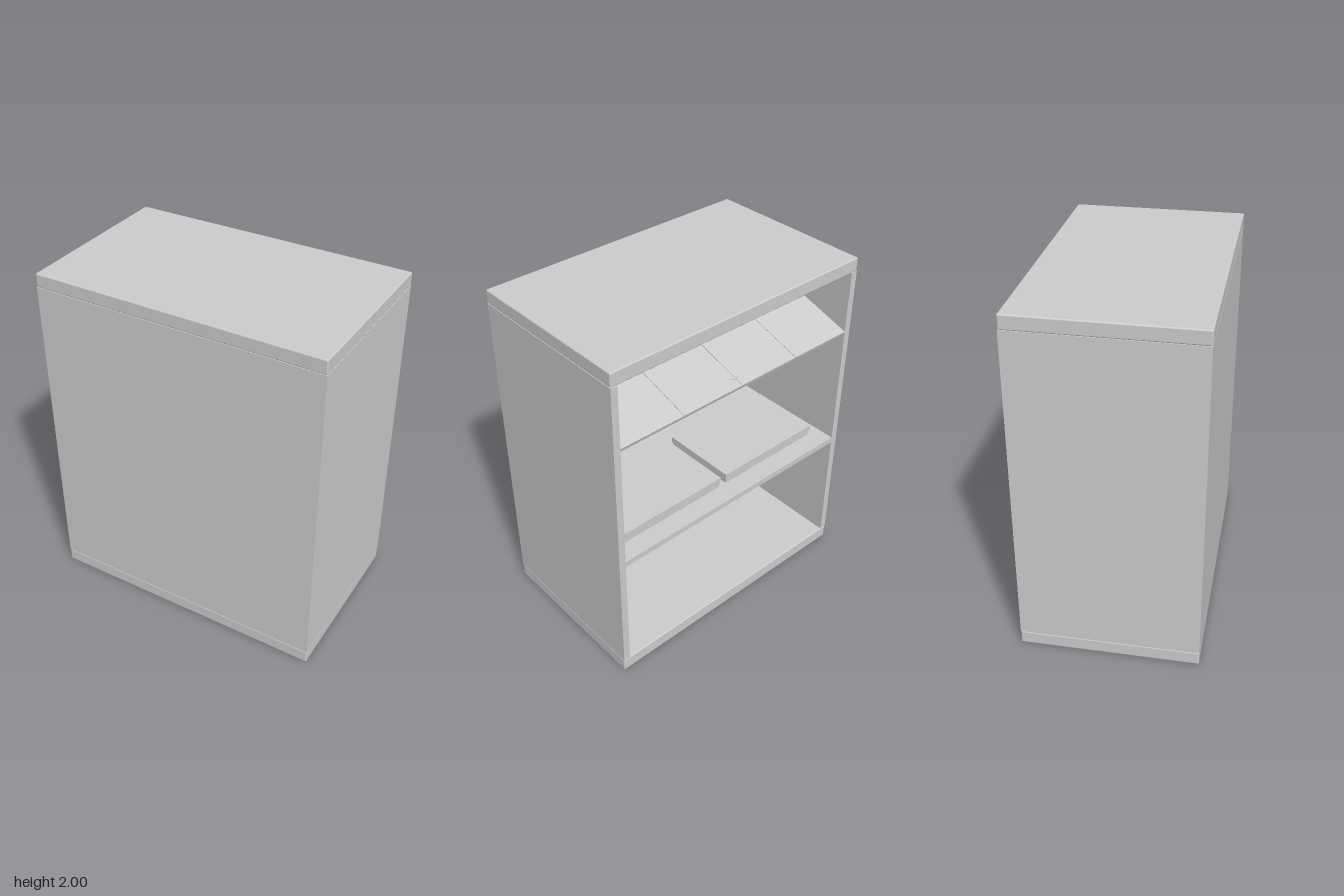
import * as THREE from 'three';
import { RoundedBoxGeometry } from 'three/addons/geometries/RoundedBoxGeometry.js';

export function createModel() {
  const group = new THREE.Group();
  const grey = new THREE.MeshStandardMaterial({ color: 0xcccccc });
  grey.name = 'light grey';

  const add = (name, geometry, x, y, z) => {
    const mesh = new THREE.Mesh(geometry, grey);
    mesh.name = name;
    mesh.position.set(x, y, z);
    group.add(mesh);
    return mesh;
  };
  const box = (name, w, h, d, x, y, z) => add(name, new THREE.BoxGeometry(w, h, d), x, y, z);
  const rounded = (name, w, h, d, x, y, z, r) =>
    add(name, new RoundedBoxGeometry(w, h, d, 2, r), x, y, z);

  const W = 1.66, D = 1, T = 0.04, inner = W - 2 * T;

  // Carcass: top and base slabs, side walls and closed front
  rounded('topSlab', W, 0.08, D, 0, 1.96, 0, 0.008);
  rounded('baseSlab', W, 0.08, D, 0, 0.04, 0, 0.008);
  for (const s of [-1, 1]) {
    box(s > 0 ? 'leftWall' : 'rightWall', T, 1.84, D, s * (W - T) / 2, 1, 0);
  }
  box('frontWall', inner, 1.84, T, 0, 1, D / 2 - T / 2);

  // Main shelf, open towards the back
  box('mainShelf', inner, 0.035, D - T, 0, 0.805, -T / 2);

  // Two stacked trays lying side by side on the shelf
  for (const s of [-1, 1]) {
    box('trayBase', 0.68, 0.03, 0.45, s * 0.365, 0.838, -0.16);
    box('trayLid', 0.69, 0.035, 0.46, s * 0.365, 0.87, -0.16);
  }

  // Narrow rack along the front wall with a row of upright containers
  box('rack', inner, 0.035, 0.15, 0, 1.058, 0.385);
  for (let i = 0; i < 8; i++) {
    rounded('container', 0.174, 0.56, 0.13, (i - 3.5) * 0.1835, 1.355, 0.385, 0.012);
  }

  // Sloping canopy made of four panels
  for (let i = 0; i < 4; i++) {
    const panel = box('canopyPanel', inner / 4 - 0.003, 0.022, 0.42,
      (i - 1.5) * inner / 4, 1.613, -0.298);
    panel.rotation.x = -0.3;
  }

  // Small round fitting under the canopy
  add('canopyKnob', new THREE.CylinderGeometry(0.045, 0.045, 0.08, 24), 0, 1.54, -0.41);

  return group;
}
